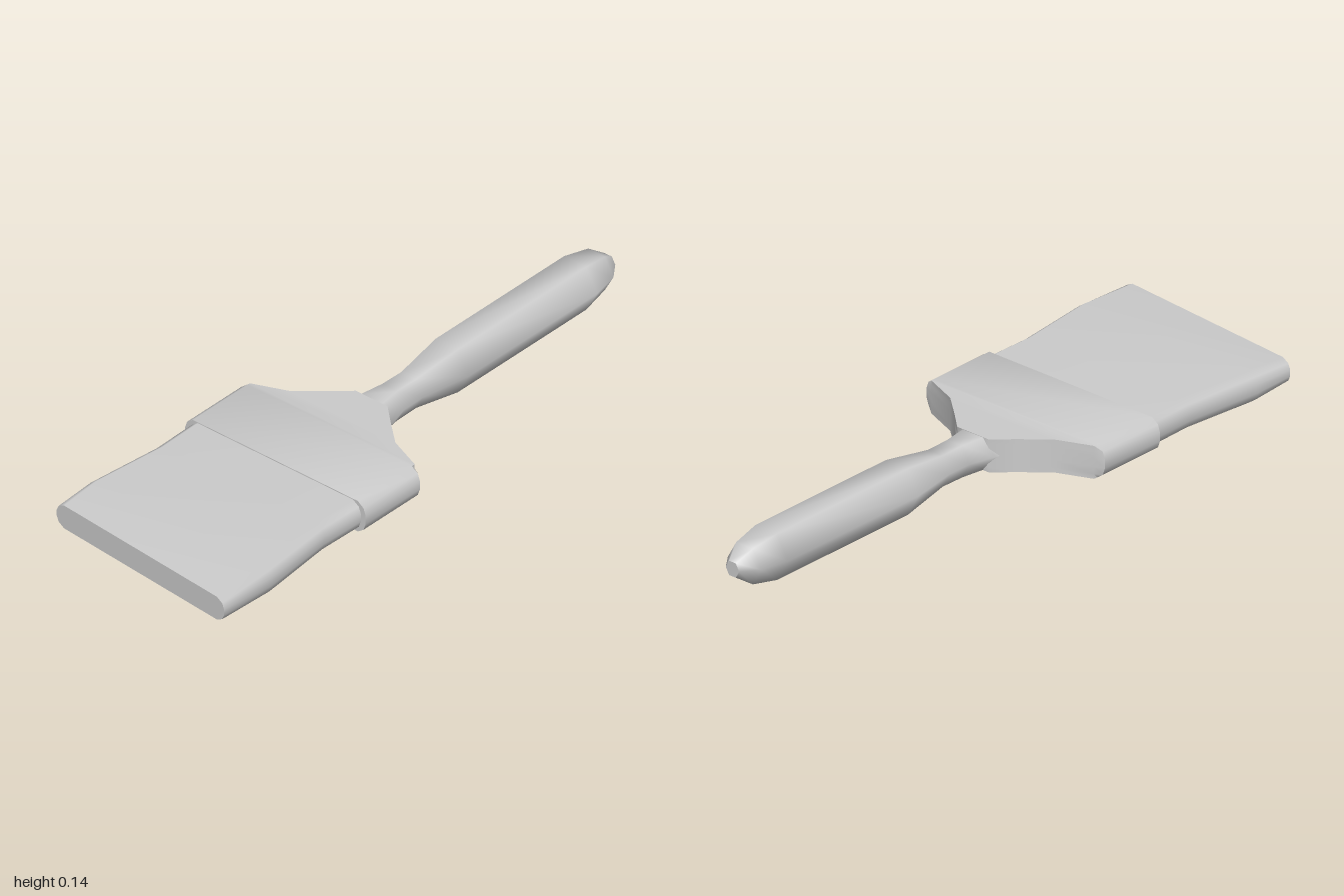
import * as THREE from 'three';
import { toCreasedNormals } from 'three/addons/utils/BufferGeometryUtils.js';

const MID = 0.072; // height of the brush's long axis

// Skin a list of rings (arrays of [x, y, z], counter-clockwise from +z, back to front) with flat caps
function loft(rings, crease) {
  const n = rings[0].length, last = rings.length - 1;
  const pos = [], index = [];
  rings.forEach((ring) => ring.forEach((p) => pos.push(...p)));
  for (let i = 0; i < last; i++) {
    for (let j = 0; j < n; j++) {
      const a = i * n + j, b = i * n + (j + 1) % n;
      index.push(a, b, b + n, a, b + n, a + n);
    }
  }
  // Caps have their own corners so that their rims stay sharp
  [rings[0], rings[last]].forEach((ring, end) => {
    const base = pos.length / 3;
    ring.forEach((p) => pos.push(...p));
    for (let j = 1; j < n - 1; j++) {
      index.push(base, base + (end ? j : j + 1), base + (end ? j + 1 : j));
    }
  });
  const geo = new THREE.BufferGeometry();
  geo.setAttribute('position', new THREE.Float32BufferAttribute(pos, 3));
  geo.setIndex(index);
  geo.computeVertexNormals();
  return crease ? toCreasedNormals(geo, crease) : geo;
}

// Six-sided handle ring
function hexRing(z, rx, ry) {
  return [[1, 0], [0.5, 1], [-0.5, 1], [-1, 0], [-0.5, -1], [0.5, -1]]
    .map(([x, y]) => [x * rx, MID + y * ry, z]);
}

// Flat bar ring with rounded ends, optionally trimmed at x = trim and slanted in z
function barRing(z, halfWidth, halfHeight, trim = Infinity, slant = 0) {
  const quarter = [[0, 0.26], [0.008, 0.7], [0.029, 1]]
    .map(([inset, y]) => [Math.min(halfWidth - inset, trim), y * halfHeight]);
  const mirrored = quarter.slice().reverse();
  return [
    ...quarter,
    ...mirrored.map(([x, y]) => [-x, y]),
    ...quarter.map(([x, y]) => [-x, -y]),
    ...mirrored.map(([x, y]) => [x, -y]),
  ].map(([x, y]) => [x, MID + y, z + slant * x]);
}

export function createModel() {
  const group = new THREE.Group();
  const material = new THREE.MeshStandardMaterial({ color: 0xcccccc });
  const add = (name, geometry) => {
    const mesh = new THREE.Mesh(geometry, material);
    mesh.name = name;
    group.add(mesh);
  };

  // Handle: z, half width, half height
  add('handle', loft([
    [-1, 0.025, 0.022],
    [-0.95, 0.062, 0.055],
    [-0.86, 0.081, 0.0715],
    [-0.32, 0.081, 0.0715],
    [-0.16, 0.054, 0.048],
    [-0.08, 0.055, 0.049],
    [0, 0.077, 0.05],
    [0.02, 0.082, 0.048],
  ].map((s) => hexRing(...s))));

  // Ferrule: rounded bar whose back is trimmed into sloping shoulders
  add('ferrule', loft([
    [-0.005, 0.058],
    [0.05, 0.118],
    [0.115, 0.192],
    [0.16, 0.302],
    [0.172, 0.332],
    [0.4, 0.332],
  ].map(([z, trim]) => barRing(z, 0.332, 0.051, trim)), 0.8));

  // Bristles: waisted pad with a slanted, thinner tip
  add('bristles', loft([
    barRing(0.38, 0.315, 0.048),
    barRing(0.55, 0.311, 0.048),
    barRing(0.8, 0.336, 0.05),
    barRing(0.967, 0.336, 0.038, Infinity, 0.097),
  ]));

  return group;
}
